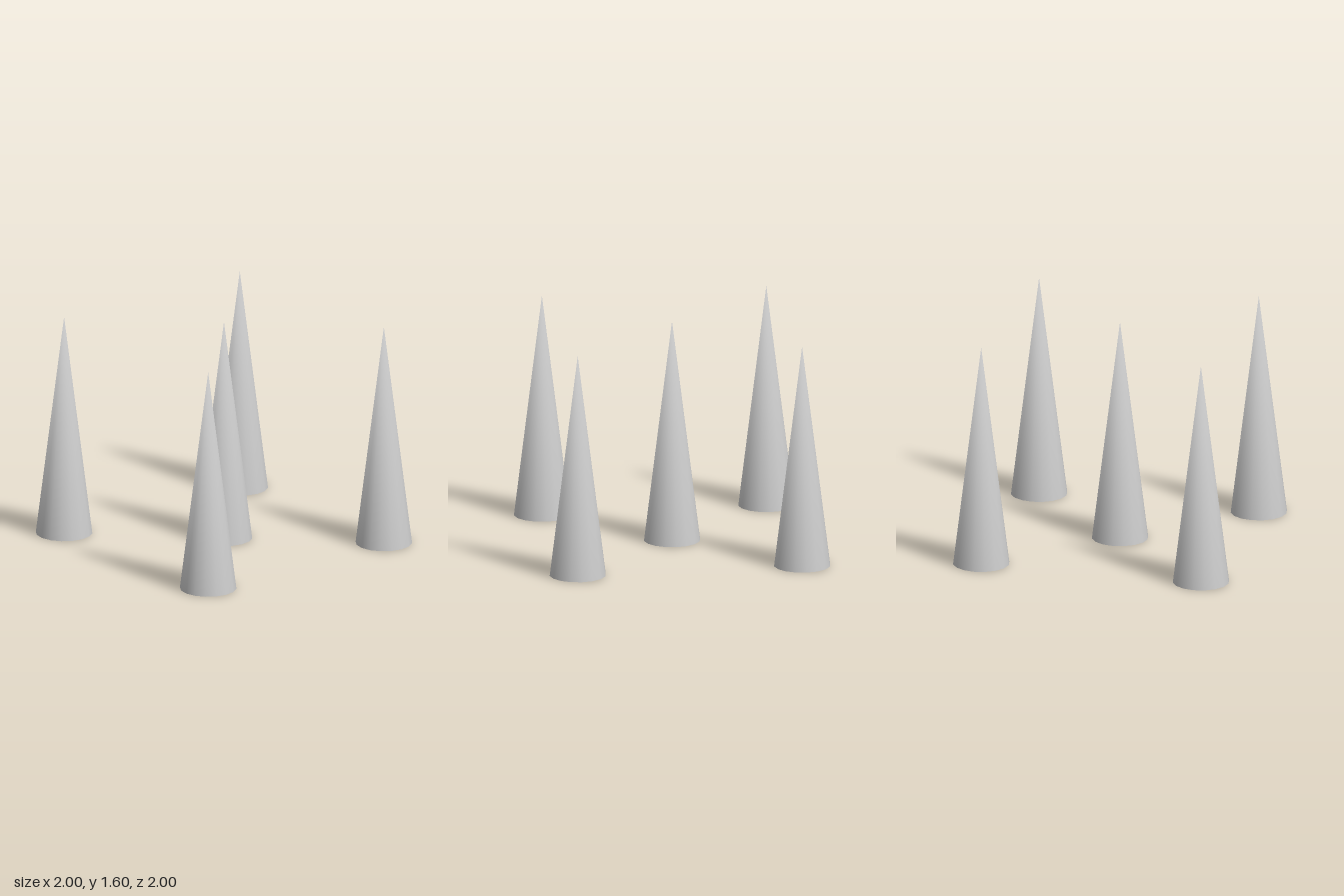
import * as THREE from 'three';
import { mergeVertices } from 'three/addons/utils/BufferGeometryUtils.js';

const RADIUS = 0.2, HEIGHT = 1.6, SIDES = 16, SPREAD = 0.8;

// Smooth cone wall whose tip is one shared vertex
function makeWall() {
  const cone = new THREE.ConeGeometry(RADIUS, HEIGHT, SIDES, 1, true);
  cone.deleteAttribute('uv');
  cone.deleteAttribute('normal');
  const wall = mergeVertices(cone);
  wall.computeVertexNormals();
  return wall.translate(0, HEIGHT / 2, 0);
}

export function createModel() {
  const model = new THREE.Group();
  model.name = 'spikes';
  const material = new THREE.MeshStandardMaterial({ color: 0xcccccc });
  const wallGeometry = makeWall();
  const baseGeometry = new THREE.CircleGeometry(RADIUS, SIDES).rotateX(Math.PI / 2);

  function addSpike(name, x, z) {
    const spike = new THREE.Group();
    spike.name = name;
    const wall = new THREE.Mesh(wallGeometry, material);
    wall.name = 'spikeWall';
    const base = new THREE.Mesh(baseGeometry, material);
    base.name = 'spikeBase';
    spike.add(wall, base);
    spike.position.set(x, 0, z);
    model.add(spike);
  }

  // One spike in the middle and one at each corner
  addSpike('centreSpike', 0, 0);
  for (const [side, x] of [['Left', SPREAD], ['Right', -SPREAD]]) {
    addSpike('front' + side + 'Spike', x, SPREAD);
    addSpike('back' + side + 'Spike', x, -SPREAD);
  }
  return model;
}
